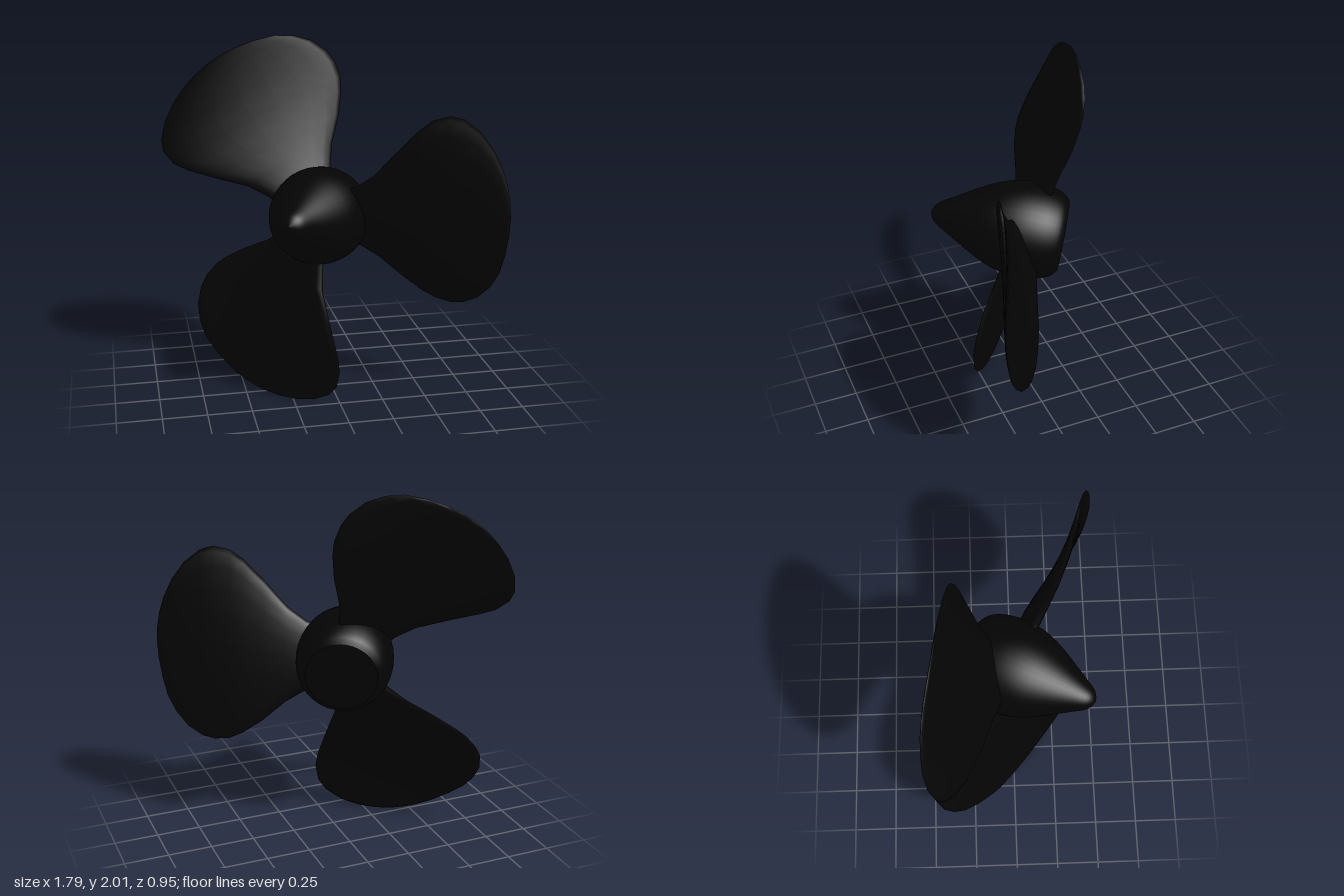
import * as THREE from 'three';

const black = new THREE.MeshStandardMaterial({ color: 0x040404 });
black.name = 'black';

// Blade sections: radius, trailing edge, leading edge, half thickness
const SECTIONS = [
  [0.12, -0.14, 0.15, 0.05], [0.225, -0.165, 0.185, 0.048], [0.33, -0.225, 0.255, 0.044],
  [0.46, -0.33, 0.395, 0.038], [0.575, -0.405, 0.515, 0.033], [0.65, -0.44, 0.575, 0.03],
  [0.74, -0.455, 0.602, 0.026], [0.81, -0.447, 0.588, 0.023], [0.9, -0.405, 0.522, 0.018],
  [0.97, -0.335, 0.43, 0.015], [1.02, -0.25, 0.33, 0.012], [1.05, -0.14, 0.24, 0.009],
  [1.067, -0.03, 0.15, 0.006], [1.072, 0.06, 0.06, 0],
];

// Twisted, slightly cambered blade: x is radial, y along the chord, z along the shaft
function bladeGeometry() {
  const sides = 20, pos = [], idx = [];
  SECTIONS.forEach(([r, lo, hi, thick], i) => {
    const pitch = 0.635 - 0.42 * r;
    for (let j = 0; j < sides; j++) {
      const a = (j / sides) * Math.PI * 2;
      const s = (lo + hi) / 2 + ((hi - lo) / 2) * Math.cos(a);
      pos.push(r, s, pitch * s - 0.12 * s * s - 0.01 + thick * Math.sin(a));
      if (i === 0) continue;
      const k = (j + 1) % sides, p = (i - 1) * sides, q = i * sides;
      idx.push(p + j, p + k, q + j, p + k, q + k, q + j);
    }
  });
  const g = new THREE.BufferGeometry();
  g.setAttribute('position', new THREE.Float32BufferAttribute(pos, 3));
  g.setIndex(idx);
  g.computeVertexNormals();
  return g;
}

// Pointed hub with a flat back, turned around z
function hubGeometry() {
  const side = new THREE.SplineCurve([
    [0.2, 0], [0.24, 0.04], [0.27, 0.14], [0.27, 0.28], [0.226, 0.43],
    [0.11, 0.64], [0.055, 0.73], [0, 0.76],
  ].map(([r, t]) => new THREE.Vector2(r, t))).getPoints(28);
  side.forEach((p) => { p.x = Math.max(p.x, 0); });
  return new THREE.LatheGeometry(side, 40).rotateX(Math.PI / 2);
}

export function createModel() {
  const model = new THREE.Group();
  model.name = 'propeller';

  // Everything sits on a tilted shaft
  const rotor = new THREE.Group();
  rotor.name = 'rotor';
  const axis = new THREE.Vector3(-0.467, 0.155, 0.87).normalize();
  const radial = new THREE.Vector3(0.884, 0, 0.474);
  radial.addScaledVector(axis, -radial.dot(axis)).normalize();
  const tangent = new THREE.Vector3().crossVectors(axis, radial);
  rotor.quaternion.setFromRotationMatrix(new THREE.Matrix4().makeBasis(radial, tangent, axis));
  rotor.position.set(-0.063, 1.027, -0.022);
  model.add(rotor);

  const hub = new THREE.Mesh(hubGeometry(), black);
  hub.name = 'hub';
  hub.position.z = -0.22;
  rotor.add(hub);

  const back = new THREE.Mesh(new THREE.CircleGeometry(0.2, 40), black);
  back.name = 'hubBack';
  back.rotation.y = Math.PI;
  back.position.z = -0.22;
  rotor.add(back);

  // Three like blades around the hub
  const geometry = bladeGeometry();
  [0, 121.8, 242.2].forEach((angle, i) => {
    const blade = new THREE.Mesh(geometry, black);
    blade.name = 'blade' + (i + 1);
    blade.rotation.z = THREE.MathUtils.degToRad(angle);
    rotor.add(blade);
  });
  return model;
}
